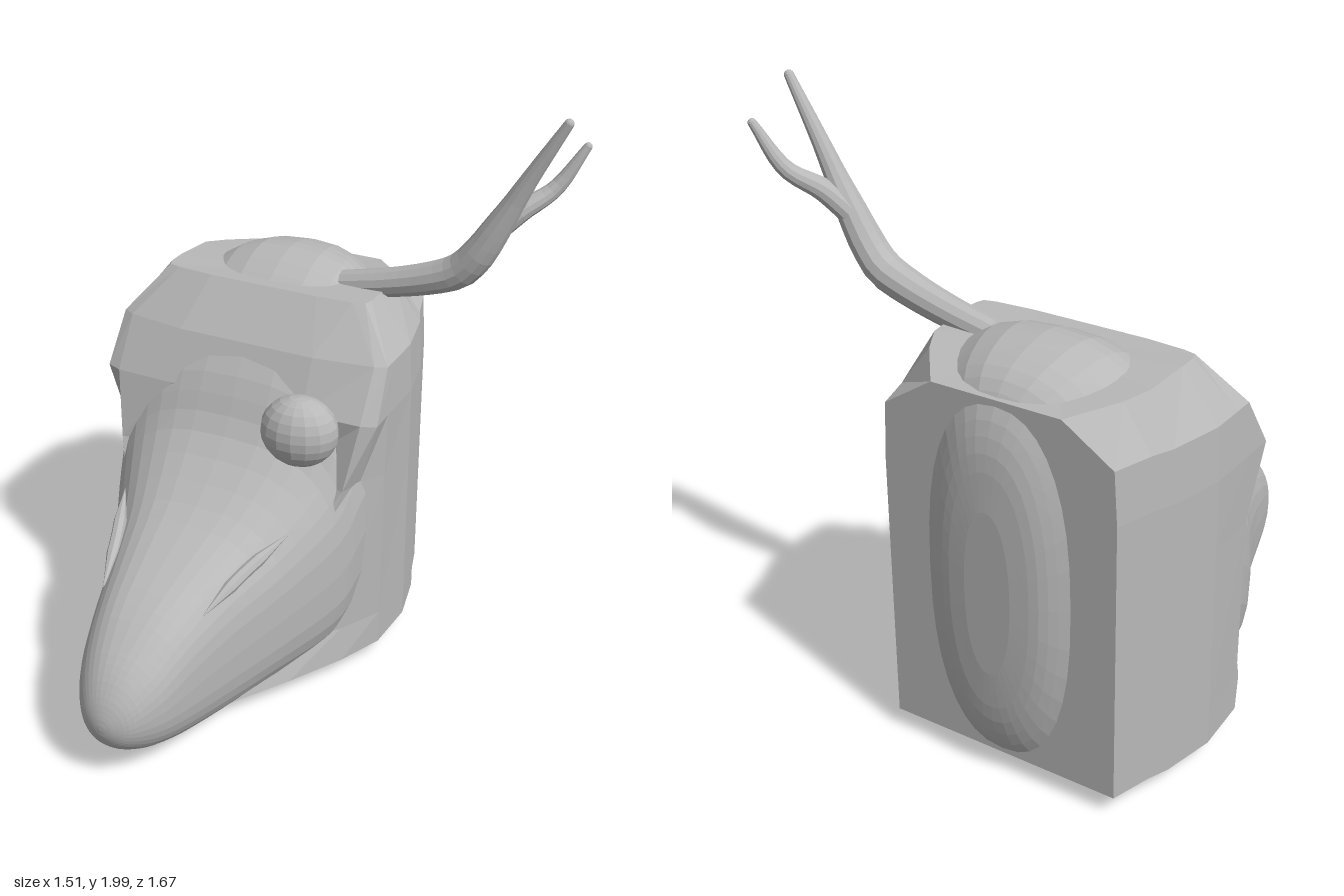
import * as THREE from 'three';

const CX = -0.24; // the head's own centre line

const grey = new THREE.MeshStandardMaterial({ color: 0xb8b8b8, flatShading: true });
grey.name = 'plain grey';

function add(group, name, geometry) {
  const mesh = new THREE.Mesh(geometry, grey);
  mesh.name = name;
  group.add(mesh);
  return mesh;
}

// Skin a stack of equal-length closed rings and cap both ends
function loft(rings) {
  const n = rings[0].length, pos = [], idx = [];
  rings.forEach(r => r.forEach(p => pos.push(...p)));
  for (let i = 0; i < rings.length - 1; i++) {
    for (let j = 0; j < n; j++) {
      const k = (j + 1) % n;
      const a = i * n + j, b = i * n + k, c = a + n, d = b + n;
      idx.push(a, b, d, a, d, c);
    }
  }
  [0, rings.length - 1].forEach((ri, end) => {
    const centre = [0, 1, 2].map(a => rings[ri].reduce((s, p) => s + p[a], 0) / n);
    const c = pos.length / 3;
    pos.push(...centre);
    for (let j = 0; j < n; j++) {
      const a = ri * n + j, b = ri * n + (j + 1) % n;
      if (end) idx.push(c, a, b); else idx.push(c, b, a);
    }
  });
  const g = new THREE.BufferGeometry();
  g.setAttribute('position', new THREE.Float32BufferAttribute(pos, 3));
  g.setIndex(idx);
  g.computeVertexNormals();
  return g;
}

// Tube whose radius follows a list of values along its length
function limb(points, radii, segs = 20, sides = 12) {
  const curve = new THREE.CatmullRomCurve3(points.map(p => new THREE.Vector3(...p)));
  const g = new THREE.TubeGeometry(curve, segs, 1, sides);
  const pos = g.attributes.position, v = new THREE.Vector3();
  for (let i = 0; i <= segs; i++) {
    const t = i / segs, c = curve.getPointAt(t);
    const f = t * (radii.length - 1), k = Math.min(Math.floor(f), radii.length - 2);
    const r = THREE.MathUtils.lerp(radii[k], radii[k + 1], f - k);
    for (let j = 0; j <= sides; j++) {
      const n = i * (sides + 1) + j;
      v.fromBufferAttribute(pos, n).sub(c).multiplyScalar(r).add(c);
      pos.setXYZ(n, v.x, v.y, v.z);
    }
  }
  g.computeVertexNormals();
  return g;
}

// Rounded head and snout: z, bottom, top, half width, squareness
function headGeometry() {
  const s = [
    [-0.84, 0.40, 0.95, 0.08, 2.2], [-0.825, 0.22, 1.13, 0.17, 2.3],
    [-0.78, 0.09, 1.26, 0.25, 2.4], [-0.70, 0.03, 1.345, 0.36, 2.5],
    [-0.55, 0.01, 1.39, 0.45, 2.5], [-0.42, 0.01, 1.37, 0.47, 2.5],
    [-0.25, 0.015, 1.26, 0.475, 2.5], [-0.10, 0.02, 1.07, 0.465, 2.7],
    [0.0, 0.022, 0.89, 0.435, 2.8], [0.20, 0.028, 0.725, 0.335, 2.9],
    [0.40, 0.035, 0.64, 0.255, 2.9], [0.58, 0.06, 0.56, 0.2, 2.7],
    [0.69, 0.09, 0.485, 0.165, 2.4], [0.76, 0.125, 0.42, 0.127, 2.2],
    [0.805, 0.165, 0.355, 0.086, 2.1], [0.828, 0.21, 0.3, 0.042, 2],
    [0.835, 0.245, 0.265, 0.01, 2],
  ];
  const smooth = (a, b) => new THREE.CatmullRomCurve3(
    s.map(r => new THREE.Vector3(r[0], r[a], r[b])), false, 'catmullrom', 0.5);
  const heights = smooth(1, 2), widths = smooth(3, 4);
  const rings = [], steps = 48, sides = 36;
  for (let i = 0; i <= steps; i++) {
    const h = heights.getPoint(i / steps), w = widths.getPoint(i / steps);
    const ring = [];
    for (let j = 0; j < sides; j++) {
      const a = j / sides * Math.PI * 2, c = Math.cos(a), q = Math.sin(a);
      const bend = x => Math.sign(x) * Math.pow(Math.abs(x), 2 / w.z);
      ring.push([CX + w.y * bend(c), (h.y + h.z) / 2 + (h.z - h.y) / 2 * bend(q), h.x]);
    }
    rings.push(ring);
  }
  return loft(rings);
}

// Faceted hood: outline of one half at each height, front to back
function hoodGeometry() {
  const back = [[0.51, -0.4], [0.47, -0.58], [0.44, -0.65], [0.40, -0.78]];
  const levels = [
    [0.075, [[0.14, 0.43], [0.32, 0.15], [0.43, -0.04], [0.5, -0.2], ...back]],
    [0.2, [[0.1, 0.18], [0.3, 0.12], [0.42, -0.05], [0.5, -0.2], ...back]],
    [0.77, [[0.2, -0.1], [0.425, -0.03], [0.45, -0.12], [0.505, -0.2], ...back]],
    [1.0, [[0.25, -0.08], [0.46, -0.085], [0.512, -0.105], [0.51, -0.2], ...back]],
    [1.17, [[0.25, -0.16], [0.46, -0.19], [0.5, -0.21], [0.5, -0.28], [0.5, -0.4], [0.46, -0.58], [0.43, -0.65], [0.39, -0.78]]],
    [1.33, [[0.2, -0.29], [0.33, -0.3], [0.37, -0.31], [0.38, -0.34], [0.38, -0.4], [0.37, -0.56], [0.33, -0.64], [0.22, -0.78]]],
  ];
  return loft(levels.map(([y, half]) => {
    const ring = ([x, z]) => [CX + x, y > 1.3 && z < -0.5 ? y + (z + 0.5) * 0.18 : y, z];
    return [...half.map(ring), ...half.slice().reverse().map(([x, z]) => ring([-x, z]))];
  }));
}

export function createModel() {
  const model = new THREE.Group();
  model.name = 'antleredHead';

  add(model, 'headAndSnout', headGeometry());
  add(model, 'hood', hoodGeometry());

  // Slit folds half sunk into each side of the snout
  for (const s of [1, -1]) {
    add(model, s > 0 ? 'leftFold' : 'rightFold', limb(
      [[CX + s * 0.315, 0.675, 0.14], [CX + s * 0.24, 0.605, 0.32], [CX + s * 0.185, 0.53, 0.5]],
      [0.001, 0.022, 0.022, 0.001], 12, 8));
  }

  // Single bulging eye
  const eye = add(model, 'eye', new THREE.SphereGeometry(1, 16, 12));
  eye.scale.set(0.133, 0.125, 0.1);
  eye.position.set(0.035, 0.975, -0.015);
  eye.rotation.y = 0.15;

  // Single forked antler
  const antler = new THREE.Group();
  antler.name = 'antler';
  add(antler, 'antlerBeam', limb(
    [[-0.02, 1.31, -0.47], [0.14, 1.345, -0.47], [0.29, 1.39, -0.47], [0.39, 1.435, -0.47],
      [0.45, 1.5, -0.465], [0.52, 1.62, -0.465], [0.61, 1.79, -0.465], [0.72, 1.985, -0.465]],
    [0.046, 0.049, 0.052, 0.056, 0.06, 0.056, 0.048, 0.036, 0.028, 0.022, 0.016], 24));
  add(antler, 'antlerTine', limb(
    [[0.49, 1.58, -0.47], [0.57, 1.66, -0.51], [0.66, 1.73, -0.575], [0.743, 1.87, -0.615]],
    [0.04, 0.038, 0.03, 0.023, 0.014], 14));
  // Rounded tips
  for (const [x, y, z, r] of [[0.72, 1.985, -0.465, 0.016], [0.743, 1.87, -0.615, 0.014]]) {
    add(antler, 'antlerTip', new THREE.SphereGeometry(r, 10, 8)).position.set(x, y, z);
  }
  model.add(antler);

  return model;
}
